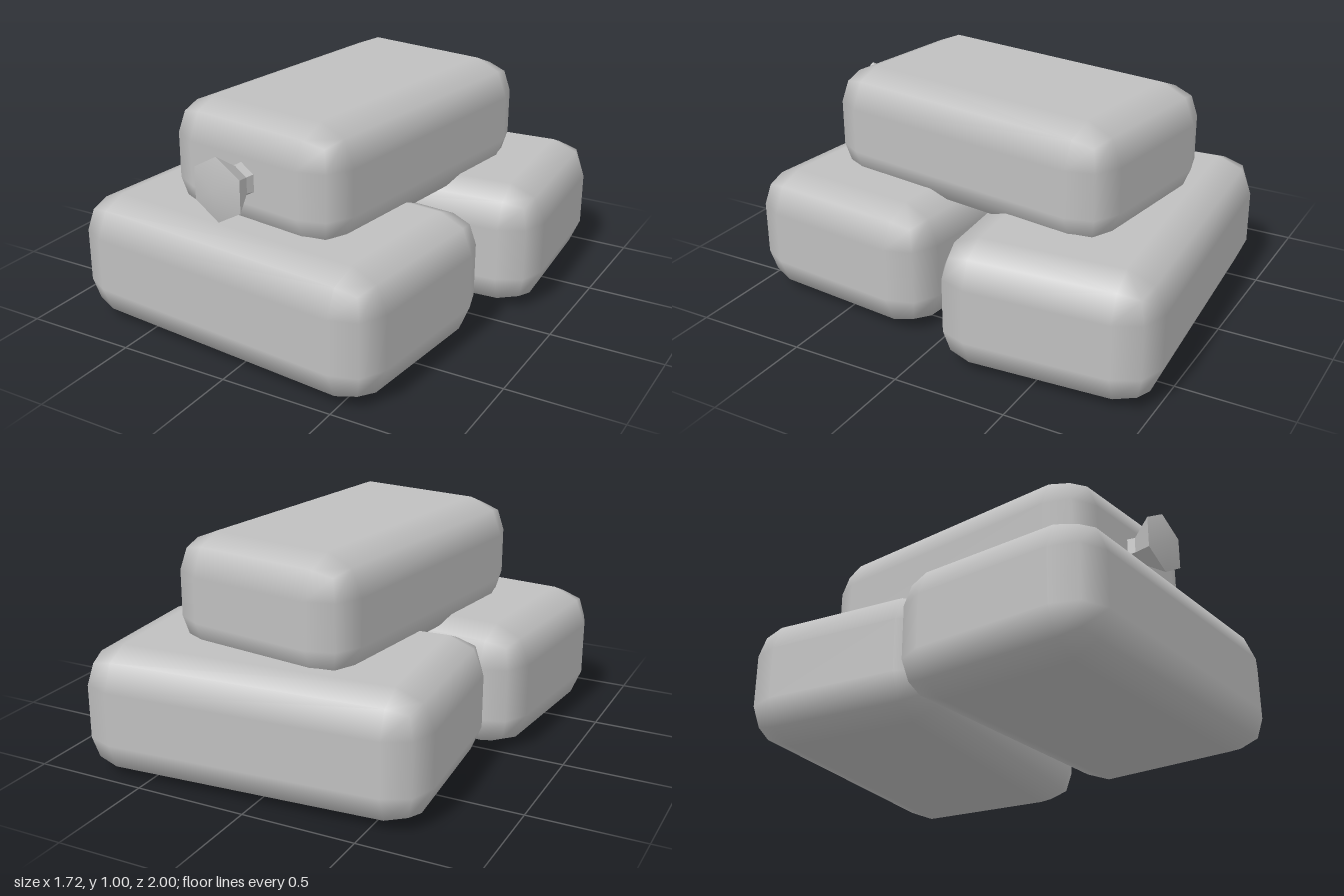
import * as THREE from 'three';
import { toCreasedNormals } from 'three/addons/utils/BufferGeometryUtils.js';
import { RoundedBoxGeometry } from 'three/addons/geometries/RoundedBoxGeometry.js';

const canvasGrey = new THREE.MeshStandardMaterial({ color: 0xbfbfbf });
canvasGrey.name = 'canvas grey';

// A plump bag: a box with two-step rounded edges, turned about the vertical
function bag(name, [w, h, d], [x, y, z], turn) {
  const group = new THREE.Group();
  group.name = name;
  group.position.set(x, y, z);
  group.rotation.y = turn;
  const body = new THREE.Mesh(new RoundedBoxGeometry(w, h, d, 1, 0.162), canvasGrey);
  body.name = name + 'Body';
  group.add(body);
  return group;
}

// Six-sided tied end: neck, flared rim and shallow domed end, pointing to +z
function tiedEnd() {
  const profile = [[0.085, 0.68], [0.068, 0.757], [0.14, 0.863], [0, 0.893]]
    .map(([r, y]) => new THREE.Vector2(r, y));
  const geometry = new THREE.LatheGeometry(profile, 6).rotateX(Math.PI / 2);
  const mesh = new THREE.Mesh(toCreasedNormals(geometry, 0.5), canvasGrey);
  mesh.name = 'tiedEnd';
  return mesh;
}

export function createModel() {
  const model = new THREE.Group();
  model.name = 'sandbagStack';

  // Two bags side by side on the ground
  const lowerSize = [1.53, 0.56, 0.944];
  model.add(bag('frontBag', lowerSize, [-0.07, 0.28, 0.463], -0.1));
  model.add(bag('backBag', lowerSize, [0.072, 0.28, -0.49], 0.07));

  // One bag lying across them, with its tied end to the front
  const topBag = bag('topBag', [0.888, 0.525, 1.446], [0.015, 0.742, -0.014], -0.14);
  topBag.add(tiedEnd());
  model.add(topBag);

  return model;
}
